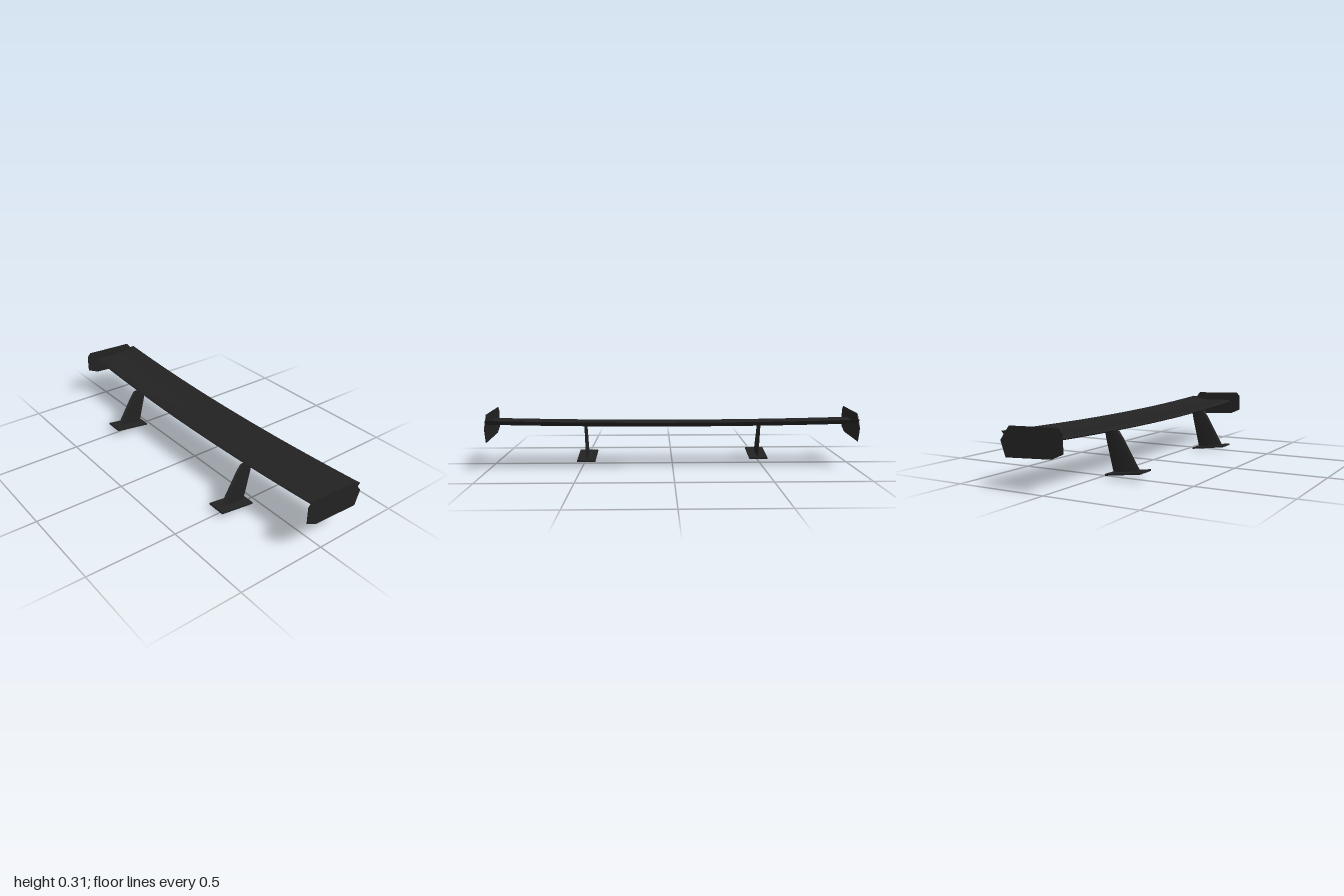
import * as THREE from 'three';
import { toCreasedNormals } from 'three/addons/utils/BufferGeometryUtils.js';

// Skins a list of closed rings of [x, y, z] points and caps both ends
function loft(rings, crease) {
  const n = rings[0].length, last = (rings.length - 1) * n;
  const index = [];
  for (let i = 0; i < rings.length - 1; i++) {
    for (let j = 0; j < n; j++) {
      const a = i * n + j, b = i * n + (j + 1) % n, c = b + n, d = a + n;
      index.push(a, d, c, a, c, b);
    }
  }
  for (let j = 1; j < n - 1; j++) {
    index.push(0, j, j + 1);
    index.push(last, last + j + 1, last + j);
  }
  const g = new THREE.BufferGeometry();
  g.setAttribute('position', new THREE.Float32BufferAttribute(rings.flat(2), 3));
  g.setIndex(index);
  return toCreasedNormals(g, crease);
}

export function createModel() {
  const group = new THREE.Group();
  const black = new THREE.MeshStandardMaterial({ color: 0x222222 });
  black.name = 'matte black';

  const add = (name, geometry, parent = group) => {
    const mesh = new THREE.Mesh(geometry, black);
    mesh.name = name;
    parent.add(mesh);
    return mesh;
  };

  // Wing: a flipped-up section [z, y] swept across a gentle bow
  const section = [
    [0.045, 0.25], [0.037, 0.257], [0.015, 0.26], [-0.03, 0.259], [-0.09, 0.256],
    [-0.15, 0.257], [-0.19, 0.264], [-0.212, 0.272], [-0.233, 0.277],
    [-0.219, 0.262], [-0.18, 0.249], [-0.1, 0.241], [-0.02, 0.239], [0.03, 0.242],
  ];
  const stations = [];
  const steps = 24;
  for (let i = 0; i <= steps; i++) {
    const t = (i / steps) * 2 - 1;
    const bow = 1 - t * t;
    stations.push(section.map(([z, y]) => [t * 0.997, y - 0.016 * bow, z + 0.021 * bow]));
  }
  add('wing', loft(stations, 0.6));

  // End plates: outline as [z, y]
  const outline = [
    [0.115, 0.288], [0.095, 0.312], [-0.185, 0.304], [-0.238, 0.235],
    [-0.21, 0.156], [0.053, 0.169], [0.115, 0.197],
  ];
  const plateShape = new THREE.Shape(outline.map(([z, y]) => new THREE.Vector2(-z, y)));
  for (const side of [-1, 1]) {
    const g = new THREE.ExtrudeGeometry(plateShape, { depth: 0.004, bevelEnabled: false });
    g.rotateY(Math.PI / 2);
    add(side > 0 ? 'leftEndPlate' : 'rightEndPlate', g).position.x = side > 0 ? 0.996 : -1;
  }

  // Strut levels: front z and y, back z and y
  const tilt = 0.13;
  const levels = drop => [
    [0.218, 0.03 - drop, 0.053, 0.02 - drop],
    [0.115, 0.2, 0.013, 0.18],
    [0.088, 0.238, 0.002, 0.236],
  ];

  // Supports: lens-shaped blade on a tilted foot; the left foot sits slightly lower
  for (const { name, x, footY, drop } of [
    { name: 'rightSupport', x: -0.5, footY: 0.0305, drop: 0 },
    { name: 'leftSupport', x: 0.493, footY: 0.0185, drop: 0.01 },
  ]) {
    const support = new THREE.Group();
    support.name = name;
    support.position.x = x;
    group.add(support);

    const sides = 16;
    const rings = levels(drop).map(([zf, yf, zb, yb]) => {
      const ring = [];
      for (let j = 0; j < sides; j++) {
        const a = (j / sides) * Math.PI * 2;
        const k = (Math.sin(a) + 1) / 2;
        ring.push([0.007 * Math.cos(a), yb + (yf - yb) * k, zb + (zf - zb) * k]);
      }
      return ring;
    });
    add('strut', loft(rings, 0.9), support);

    const foot = add('foot', new THREE.BoxGeometry(0.105, 0.009, 0.206), support);
    foot.position.set(0, footY, 0.136);
    foot.rotation.x = -tilt;
  }

  return group;
}
